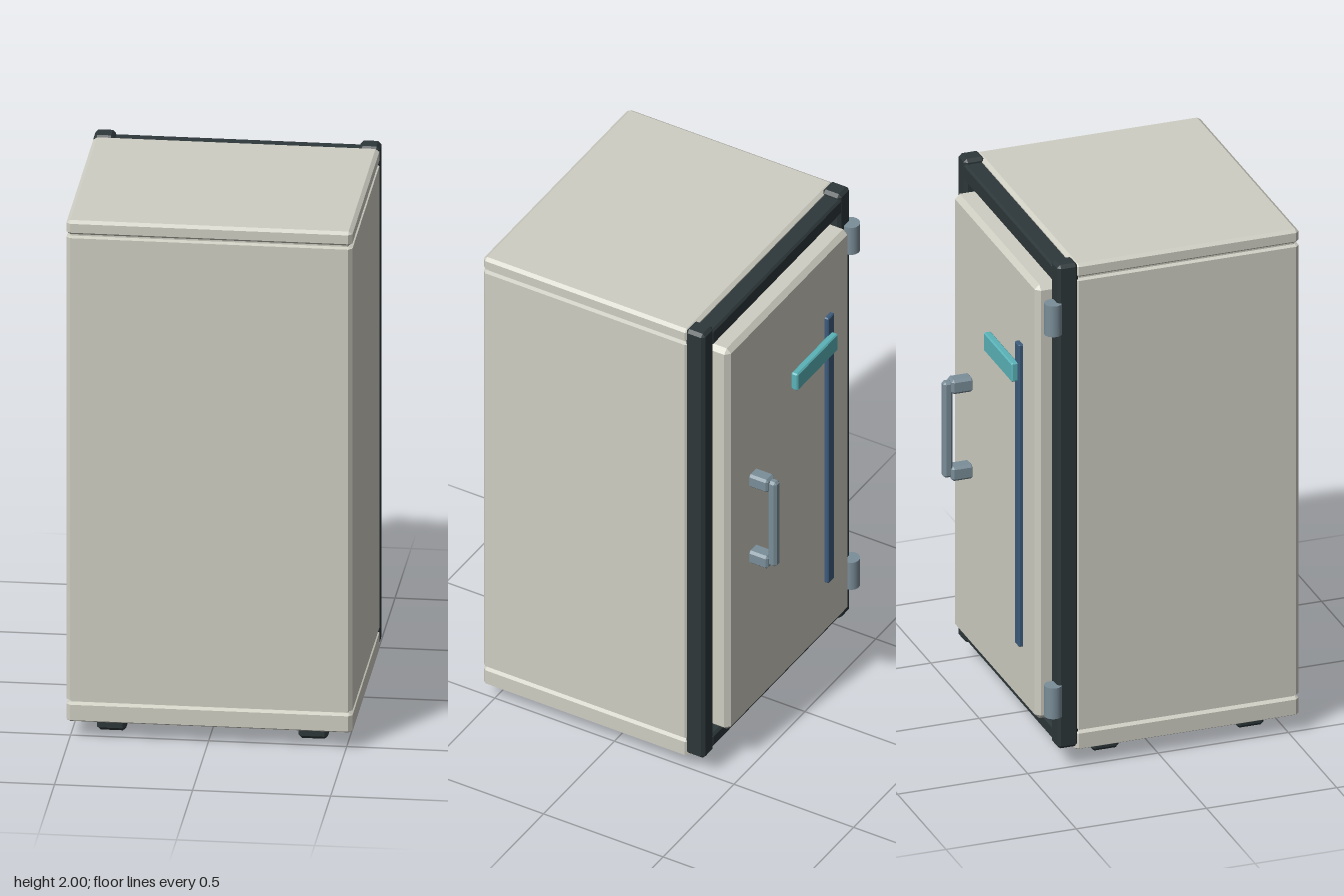
import * as THREE from 'three';
import { ConvexGeometry } from 'three/addons/geometries/ConvexGeometry.js';

const paint = (color) => new THREE.MeshStandardMaterial({ color, flatShading: true });

// Box with chamfered edges, given by its two extents on each axis
function chamferBox(name, material, [x0, x1], [y0, y1], [z0, z1], b, by = b) {
  const hx = (x1 - x0) / 2, hy = (y1 - y0) / 2, hz = (z1 - z0) / 2;
  const points = [];
  for (const sx of [-1, 1]) for (const sy of [-1, 1]) for (const sz of [-1, 1]) {
    points.push(
      new THREE.Vector3(sx * hx, sy * (hy - by), sz * (hz - b)),
      new THREE.Vector3(sx * (hx - b), sy * hy, sz * (hz - b)),
      new THREE.Vector3(sx * (hx - b), sy * (hy - by), sz * hz));
  }
  const mesh = new THREE.Mesh(new ConvexGeometry(points), material);
  mesh.name = name;
  mesh.position.set((x0 + x1) / 2, (y0 + y1) / 2, (z0 + z1) / 2);
  return mesh;
}

export function createModel() {
  const model = new THREE.Group();
  model.name = 'cabinet';
  const shell = paint(0xcfcec3);
  const dark = paint(0x2d3739);
  const metal = paint(0x7b8e99);
  const blue = paint(0x3d5c7c);
  const teal = paint(0x5ab3b8);
  const cx = 0.006, left = -0.512, right = 0.524;
  const box = (...args) => model.add(chamferBox(...args));

  // Cabinet: base, body and lid separated by thin seams around a recessed core
  const bodyZ = [-0.322, 0.54];
  box('base', shell, [left, right], [0.065, 0.14], bodyZ, 0.014, 0.008);
  box('body', shell, [left, right], [0.146, 1.935], bodyZ, 0.014, 0.005);
  box('lid', shell, [left, right], [1.941, 1.995], bodyZ, 0.014, 0.01);
  box('core', shell, [left + 0.015, right - 0.015], [0.1, 1.97], [-0.307, 0.525], 0.004);

  // Feet
  for (const sx of [-1, 1]) for (const z of [0.39, -0.167]) {
    const x = cx + sx * 0.365;
    box('foot', dark, [x - 0.053, x + 0.053], [0, 0.07], [z - 0.053, z + 0.053], 0.012);
  }

  // Door frame: two posts and two rails
  box('framePost', dark, [left, left + 0.075], [0.08, 2], [-0.388, -0.308], 0.012);
  box('framePost', dark, [right - 0.075, right], [0.08, 2], [-0.388, -0.308], 0.012);
  for (const [y0, y1] of [[0.095, 0.15], [1.915, 1.982]]) {
    box('frameRail', dark, [left + 0.06, right - 0.06], [y0, y1], [-0.388, -0.315], 0.008);
  }

  // Door
  box('door', shell, [-0.422, 0.434], [0.165, 1.888], [-0.438, -0.315], 0.018);

  // Hinges
  for (const y of [0.273, 1.79]) {
    const hinge = new THREE.Mesh(
      new THREE.CylinderGeometry(0.033, 0.033, 0.122, 24),
      new THREE.MeshStandardMaterial({ color: 0x7b8e99 }));
    hinge.name = 'hinge';
    hinge.position.set(-0.494, y, -0.4);
    model.add(hinge);
  }

  // Handle: two mounts and a grip
  for (const y of [0.865, 1.21]) {
    box('handleMount', metal, [0.234, 0.291], [y - 0.028, y + 0.028], [-0.516, -0.432], 0.009);
  }
  box('handleGrip', metal, [0.245, 0.28], [0.85, 1.23], [-0.544, -0.508], 0.009);

  // Trim strip and cross plate on the door
  box('trimStrip', blue, [-0.287, -0.243], [0.4, 1.6], [-0.455, -0.434], 0.004);
  box('crossPlate', teal, [-0.273, 0.014], [1.45, 1.525], [-0.478, -0.45], 0.005);

  return model;
}
